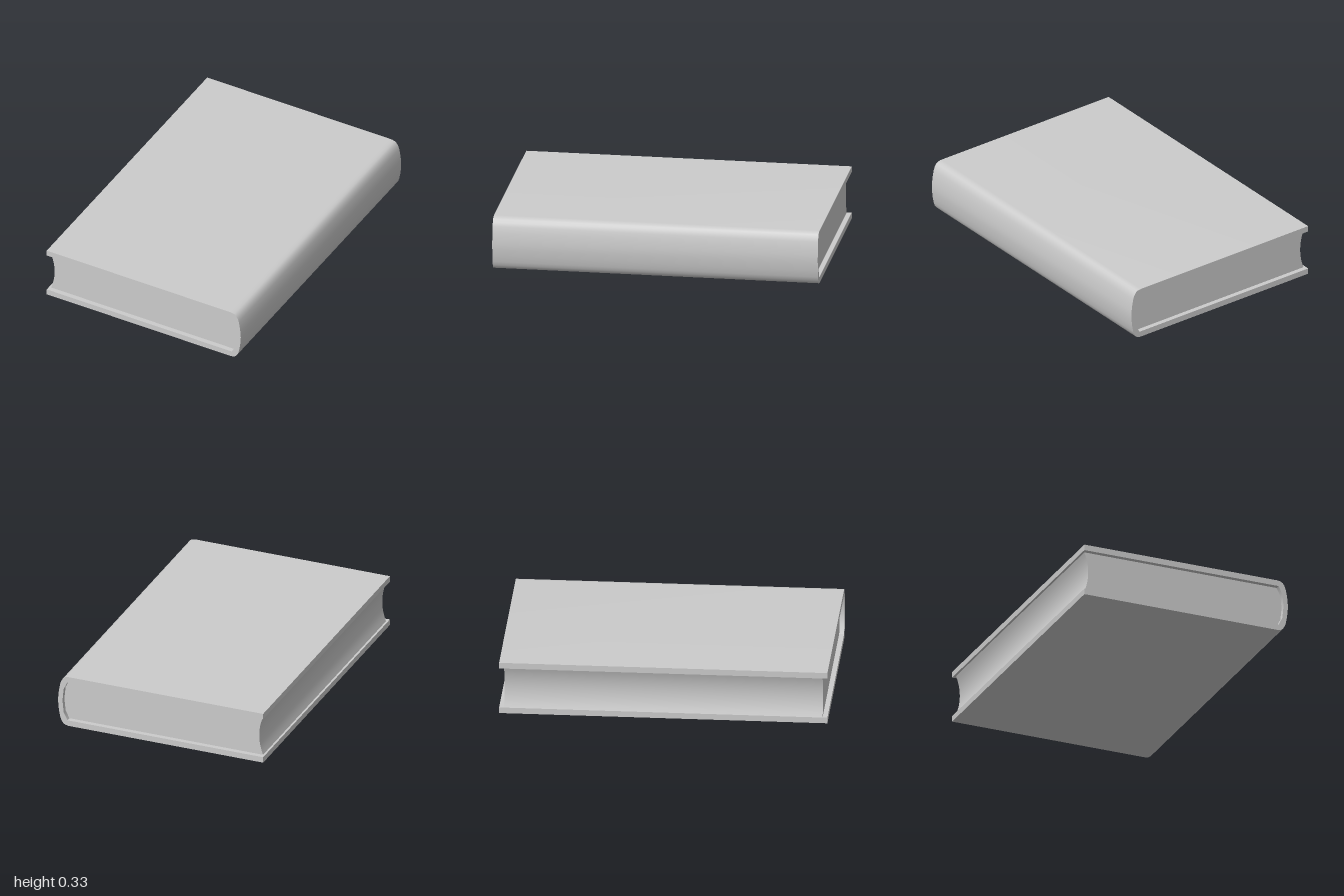
import * as THREE from 'three';
import { toCreasedNormals } from 'three/addons/utils/BufferGeometryUtils.js';

const H = 0.332; // total thickness of the closed book
const MID = H / 2;

// Mirror an upper half-profile (ending on the mid line) down to the lower half
const mirrorDown = (half) => [...half, ...half.slice(0, -1).reverse().map(([x, y]) => [x, H - y])];

// Extrude a cross-section along z, centred, with smooth curves and crisp edges
function bar(name, points, length, material) {
  const shape = new THREE.Shape(points.map(([x, y]) => new THREE.Vector2(x, y)));
  const geometry = new THREE.ExtrudeGeometry(shape, { depth: length, bevelEnabled: false });
  geometry.translate(0, 0, -length / 2);
  const mesh = new THREE.Mesh(toCreasedNormals(geometry, 0.7), material);
  mesh.name = name;
  return mesh;
}

export function createModel() {
  const group = new THREE.Group();
  group.name = 'book';
  const material = new THREE.MeshStandardMaterial({ color: 0xcccccc });

  // Profiles of the rounded spine, outside and inside
  const outer = mirrorDown([
    [-0.675, H], [0.6, H], [0.612, 0.331], [0.628, 0.327], [0.64, 0.319], [0.652, 0.301],
    [0.66, 0.278], [0.668, 0.235], [0.672, 0.2], [0.674, MID],
  ]);
  const inner = mirrorDown([[-0.675, 0.295], [0.612, 0.295], [0.637, 0.245], [0.645, MID]]);

  // Cover: two boards joined by the spine
  group.add(bar('cover', [...outer, ...inner.slice().reverse()], 2, material));

  // Page block: follows the spine, with a hollow fore edge, set in at head and tail
  const foreEdge = new THREE.QuadraticBezierCurve(
    new THREE.Vector2(-0.662, H - 0.295),
    new THREE.Vector2(-0.612, MID),
    new THREE.Vector2(-0.662, 0.295),
  ).getPoints(12).map((p) => [p.x, p.y]);
  group.add(bar('pages', [...foreEdge, ...inner.slice(1, -1)], 1.94, material));

  return group;
}
